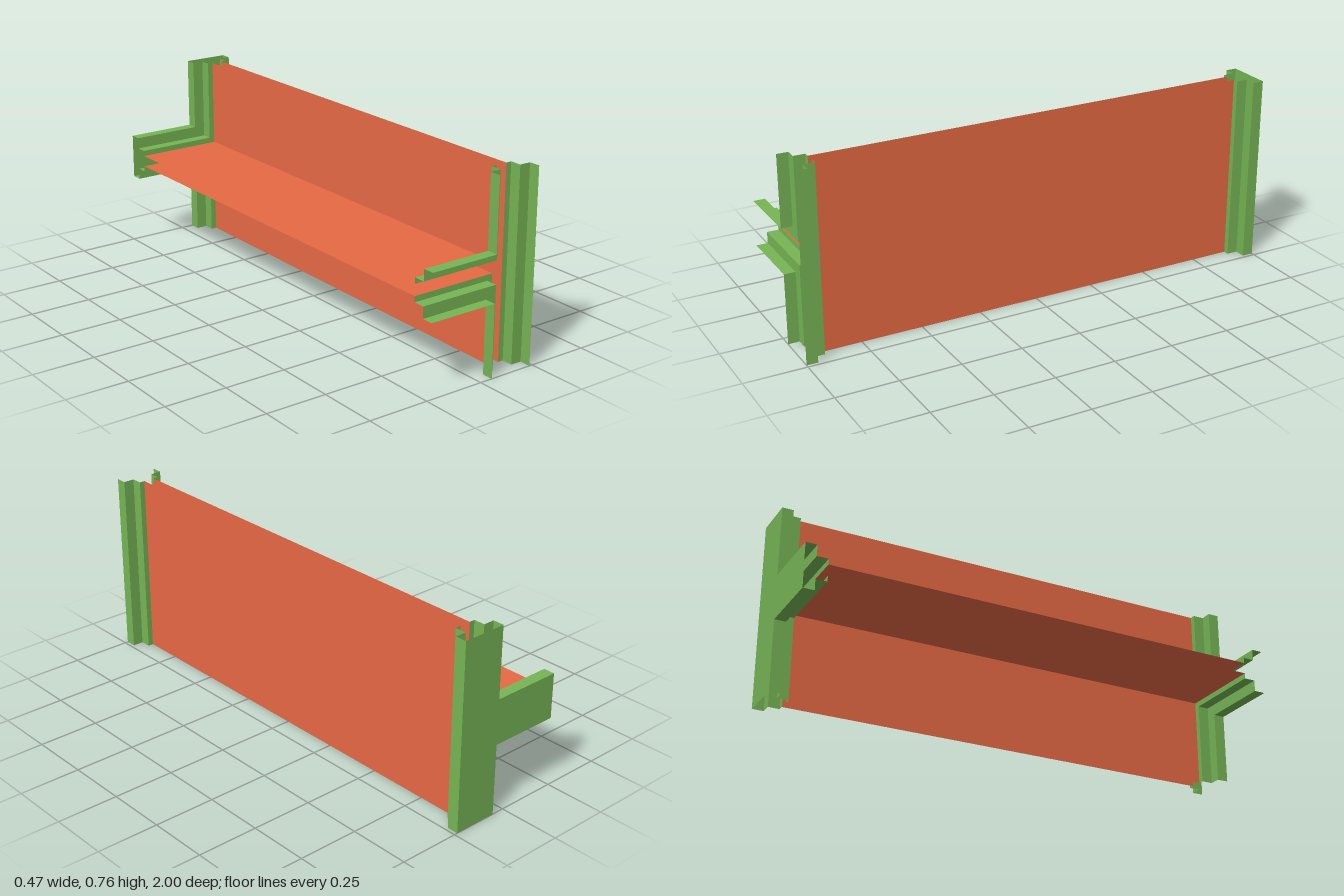
import * as THREE from 'three';

const UNIT = 0.046;              // step size of the flanges
const HEIGHT = 0.763, MID_Y = HEIGHT / 2;
const WALL_X = 0.1445, ARM_X = -0.237;
const FLANGE = 2 * UNIT;         // half width of the outer flange

// Half thickness h along z, from the closed back end to the open front end
const backRim = [[FLANGE, -1], [FLANGE, -1 + UNIT], [UNIT, -1 + UNIT], [UNIT, -1 + 2 * UNIT], [UNIT / 2, -1 + 2 * UNIT]];
const panel = [[UNIT / 2, -1 + 2 * UNIT], [UNIT / 2, 1 - 2 * UNIT]];
const frontRim = backRim.map(([h, z]) => [h, -z]).reverse();

// Outlines of the T section at half thickness h
const paths = {
  outerWall: h => [[WALL_X + h, 0], [WALL_X + h, HEIGHT]],
  upperCorner: h => [[WALL_X - h, HEIGHT], [WALL_X - h, MID_Y + h], [ARM_X, MID_Y + h]],
  lowerCorner: h => [[ARM_X, MID_Y - h], [WALL_X - h, MID_Y - h], [WALL_X - h, 0]],
};

// Sheet sweeping an outline through the (h, z) sections, with flat faces
function sheet(path, sections) {
  const pos = [];
  for (let i = 0; i + 1 < sections.length; i++) {
    const [ha, za] = sections[i], [hb, zb] = sections[i + 1];
    const a = path(ha), b = path(hb);
    for (let j = 0; j + 1 < a.length; j++) {
      const p = [...a[j], za], q = [...a[j + 1], za];
      const r = [...b[j + 1], zb], s = [...b[j], zb];
      pos.push(...p, ...q, ...r, ...p, ...r, ...s);
    }
  }
  const g = new THREE.BufferGeometry();
  g.setAttribute('position', new THREE.Float32BufferAttribute(pos, 3));
  g.computeVertexNormals();
  return g;
}

export function createModel() {
  const green = new THREE.MeshStandardMaterial({ color: 0x76b555, side: THREE.DoubleSide });
  green.name = 'green';
  const red = new THREE.MeshStandardMaterial({ color: 0xec6c46, side: THREE.DoubleSide });
  red.name = 'brickRed';

  const model = new THREE.Group();
  model.name = 'teeWallSection';
  const add = (name, geometry, material) => {
    const mesh = new THREE.Mesh(geometry, material);
    mesh.name = name;
    model.add(mesh);
  };

  // Thin red panels with stepped green rims at both ends
  for (const [name, path] of Object.entries(paths)) {
    add(name + 'Panel', sheet(path, panel), red);
    add(name + 'BackRim', sheet(path, backRim), green);
    add(name + 'FrontRim', sheet(path, frontRim), green);
  }

  // T plate closing the back end
  const outline = Object.values(paths).flatMap(path => path(FLANGE));
  const plate = new THREE.ShapeGeometry(new THREE.Shape(outline.map(([x, y]) => new THREE.Vector2(-x, y))));
  plate.rotateY(Math.PI);
  plate.translate(0, 0, -1);
  add('backPlate', plate, green);

  return model;
}
